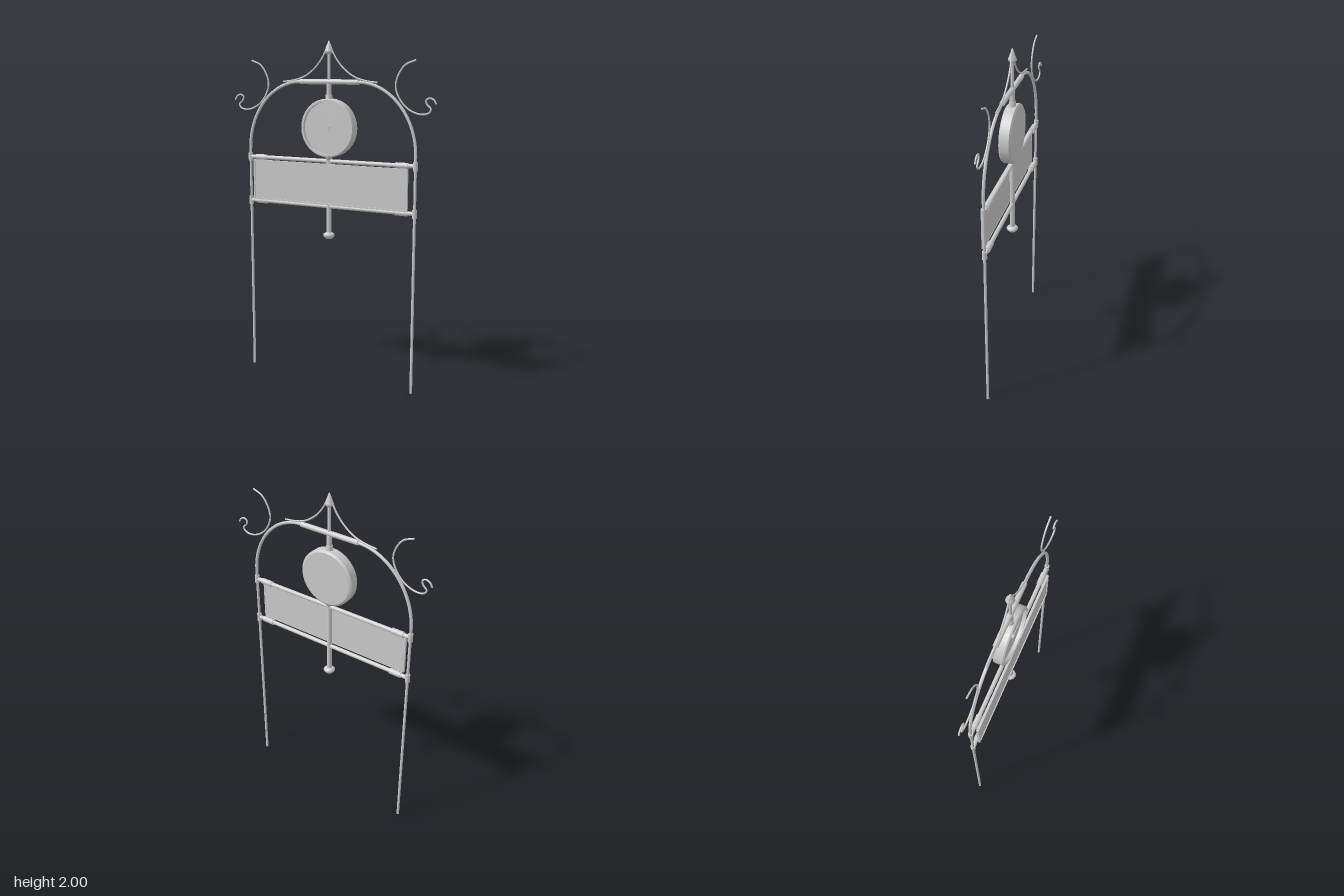
import * as THREE from 'three';

const mat = new THREE.MeshStandardMaterial({ color: 0xcccccc, side: THREE.DoubleSide });
const CX = -0.004; // centre line of the frame

export function createModel() {
  const model = new THREE.Group();
  const add = (name, geo, x = 0, y = 0, z = 0) => {
    const m = new THREE.Mesh(geo, mat);
    m.name = name;
    m.position.set(x, y, z);
    model.add(m);
    return m;
  };
  const rodY = (name, r, y0, y1, x, r1 = r) =>
    add(name, new THREE.CylinderGeometry(r1, r, y1 - y0, 16), x, (y0 + y1) / 2, 0);
  const rodX = (name, r, x0, x1, y) => {
    const m = add(name, new THREE.CylinderGeometry(r, r, x1 - x0, 16), (x0 + x1) / 2, y, 0);
    m.rotation.z = Math.PI / 2;
    return m;
  };
  const bar = (name, pts, r, seg = 64) => {
    const curve = new THREE.CatmullRomCurve3(pts.map(([x, y]) => new THREE.Vector3(x, y, 0)));
    add(name, new THREE.TubeGeometry(curve, seg, r, 8), 0, 0, 0);
    // close both ends
    for (const t of [0, 1]) {
      const p = curve.getPoint(t);
      add(name + 'End', new THREE.SphereGeometry(r, 8, 6), p.x, p.y, 0);
    }
  };
  const lathe = (name, pts, y) =>
    add(name, new THREE.LatheGeometry(pts.map(p => new THREE.Vector2(...p)), 24), CX, y, 0);

  for (const s of [-1, 1]) {
    const side = s > 0 ? 'left' : 'right';
    const px = CX + s * 0.53;
    // Posts with clamp fittings at the rails
    rodY(side + 'Post', 0.008, 0, 1.37, px);
    for (const y of [1.32, 1.055]) {
      rodY(side + 'PostFitting', 0.014, y - 0.026, y + 0.022, px);
      rodX(side + 'RailSleeve', 0.017, CX + s * 0.452 - 0.036, CX + s * 0.452 + 0.036, y);
    }
    // Quarter-ellipse arch running into the top tube
    const arch = [];
    for (let i = 0; i <= 12; i++) {
      const a = (i / 12) * Math.PI / 2;
      arch.push([CX + s * (0.18 + 0.35 * Math.cos(a)), 1.37 + 0.4 * Math.sin(a)]);
    }
    bar(side + 'Arch', arch, 0.009);
    // Concave brace rising to the finial
    bar(side + 'Brace', [[0.295, 1.769], [0.23, 1.777], [0.165, 1.796], [0.1, 1.838],
      [0.05, 1.893], [0.02, 1.945], [0.008, 1.975]].map(([x, y]) => [CX + s * x, y]), 0.005);
    // Ornamental scroll
    bar(side + 'Scroll', [[0.513, 1.889], [0.455, 1.864], [0.415, 1.808], [0.402, 1.751],
      [0.423, 1.688], [0.476, 1.63], [0.545, 1.603], [0.593, 1.61], [0.607, 1.631],
      [0.584, 1.656], [0.578, 1.678], [0.598, 1.69], [0.624, 1.679], [0.635, 1.661]]
      .map(([x, y]) => [s * x, y]), 0.005, 110);
  }

  // Horizontal rails and top tube
  rodX('upperRail', 0.012, CX - 0.53, CX + 0.53, 1.32);
  rodX('lowerRail', 0.012, CX - 0.53, CX + 0.53, 1.055);
  rodX('topTube', 0.015, CX - 0.185, CX + 0.185, 1.77);

  // Centre pole, hanger and finials
  rodY('upperPole', 0.009, 1.76, 1.95, CX);
  rodY('clockHanger', 0.015, 1.69, 1.76, CX);
  rodY('clockCollar', 0.023, 1.66, 1.70, CX, 0.018);
  rodY('lowerPole', 0.015, 0.89, 1.345, CX);
  rodY('lowerPoleCollar', 0.015, 1.325, 1.35, CX, 0.026);
  lathe('topFinial', [[0, 0], [0.016, 0], [0.024, 0.01], [0.022, 0.018], [0.012, 0.045], [0.005, 0.068], [0, 0.075]], 1.925);
  lathe('bottomFinial', [[0, 0], [0.018, 0.003], [0.031, 0.017], [0.034, 0.027], [0.029, 0.034], [0.017, 0.042], [0, 0.042]], 0.86);

  // Clock: drum with a raised rim around a recessed dial
  const R = 0.167;
  const profile = [[0, -0.034], [0.155, -0.034], [0.155, -0.034], [R, -0.026], [R, -0.026], [R, 0.024],
    [R, 0.024], [0.162, 0.032], [0.162, 0.032], [0.15, 0.032], [0.15, 0.032], [0.15, 0.012], [0.15, 0.012], [0, 0.012]];
  const drum = new THREE.LatheGeometry(profile.map(p => new THREE.Vector2(...p)), 32);
  drum.rotateX(Math.PI / 2);
  add('clockCase', drum, CX, 1.51, 0);
  add('minuteHand', new THREE.BoxGeometry(0.005, 0.1, 0.003), CX, 1.56, 0.018);
  add('hourHand', new THREE.BoxGeometry(0.08, 0.005, 0.003), CX + 0.04, 1.51, 0.018);
  const pin = add('handPin', new THREE.CylinderGeometry(0.014, 0.014, 0.012, 16), CX, 1.51, 0.017);
  pin.rotation.x = Math.PI / 2;

  // Sign board with a thin raised border
  const w = 0.495, y0 = 1.066, y1 = 1.306, b = 0.01, mid = (y0 + y1) / 2;
  add('signPanel', new THREE.BoxGeometry(2 * w - b, y1 - y0 - b, 0.008), CX, mid, 0.019);
  for (const s of [-1, 1]) {
    add('signBorderSide', new THREE.BoxGeometry(b, y1 - y0, 0.014), CX + s * (w - b / 2), mid, 0.021);
    add('signBorderEdge', new THREE.BoxGeometry(2 * w, b, 0.014), CX, mid + s * (y1 - y0 - b) / 2, 0.021);
  }
  return model;
}
